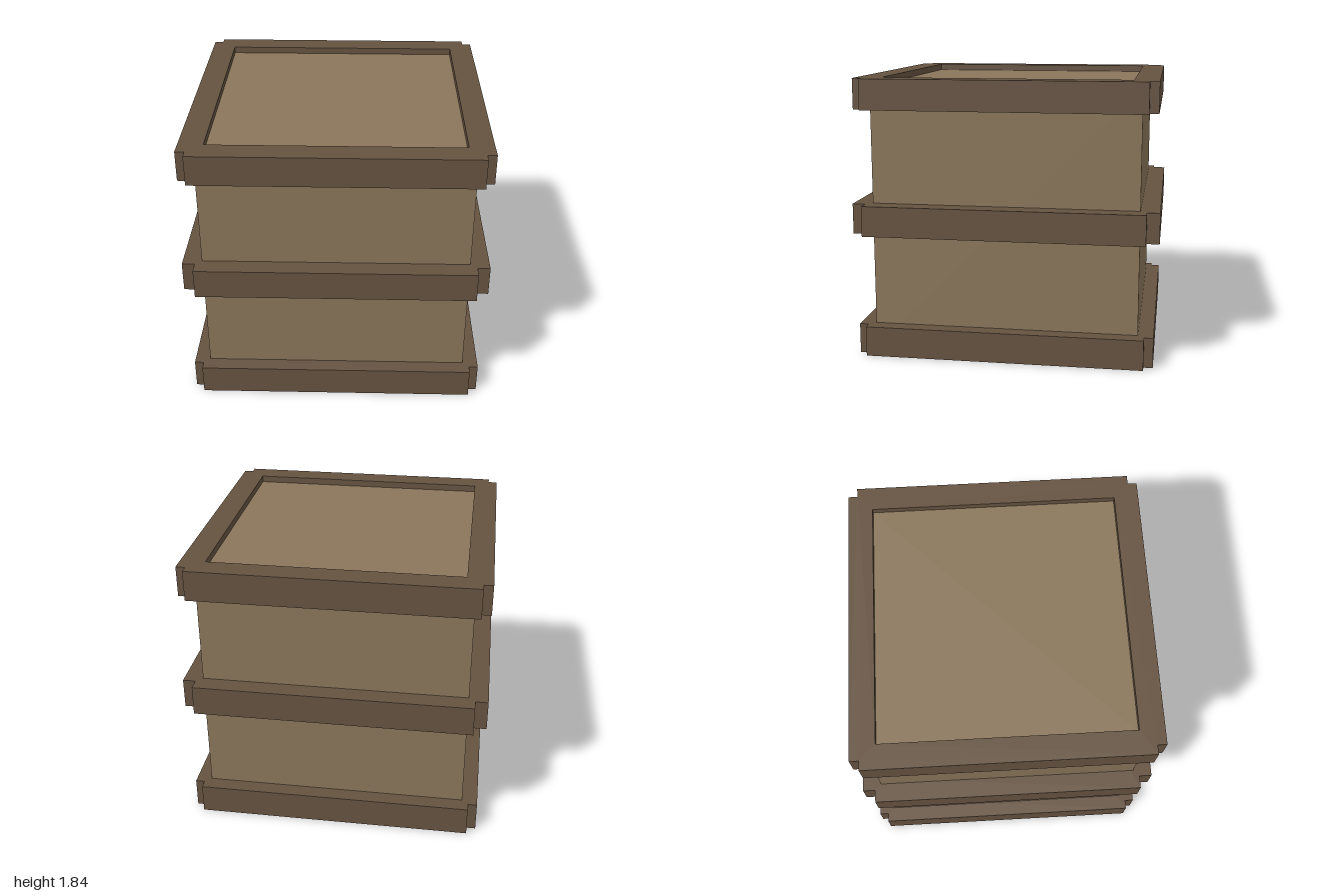
import * as THREE from 'three';

export function createModel() {
  const group = new THREE.Group();
  const panelMat = new THREE.MeshStandardMaterial({ color: 0x8a765b, flatShading: true });
  const trimMat = new THREE.MeshStandardMaterial({ color: 0x665341, flatShading: true });

  // Box body, set in slightly from the top and bottom rims
  const bottom = 0.045, top = 1.795;
  const body = new THREE.Mesh(new THREE.BoxGeometry(1.75, top - bottom, 1.75), panelMat);
  body.name = 'crateBody';
  body.position.y = (top + bottom) / 2;
  group.add(body);

  // Square frame of four planks, with a small notch at each outer corner
  function addFrame(name, y, outer, inner) {
    const n = 0.917; // half length of a plank
    const shape = new THREE.Shape([
      [n, -outer], [n, -n], [outer, -n], [outer, n], [n, n], [n, outer],
      [-n, outer], [-n, n], [-outer, n], [-outer, -n], [-n, -n], [-n, -outer],
    ].map(([x, z]) => new THREE.Vector2(x, z)));
    shape.holes.push(new THREE.Path([
      [-inner, -inner], [-inner, inner], [inner, inner], [inner, -inner],
    ].map(([x, z]) => new THREE.Vector2(x, z))));
    const geometry = new THREE.ExtrudeGeometry(shape, { depth: 0.2, bevelEnabled: false });
    geometry.rotateX(-Math.PI / 2);
    const frame = new THREE.Mesh(geometry, trimMat);
    frame.name = name;
    frame.position.y = y;
    group.add(frame);
  }

  addFrame('bottomFrame', 0, 0.977, 0.815);
  addFrame('middleFrame', 0.82, 1, 0.84);
  addFrame('topFrame', 1.64, 0.977, 0.815);

  return group;
}
